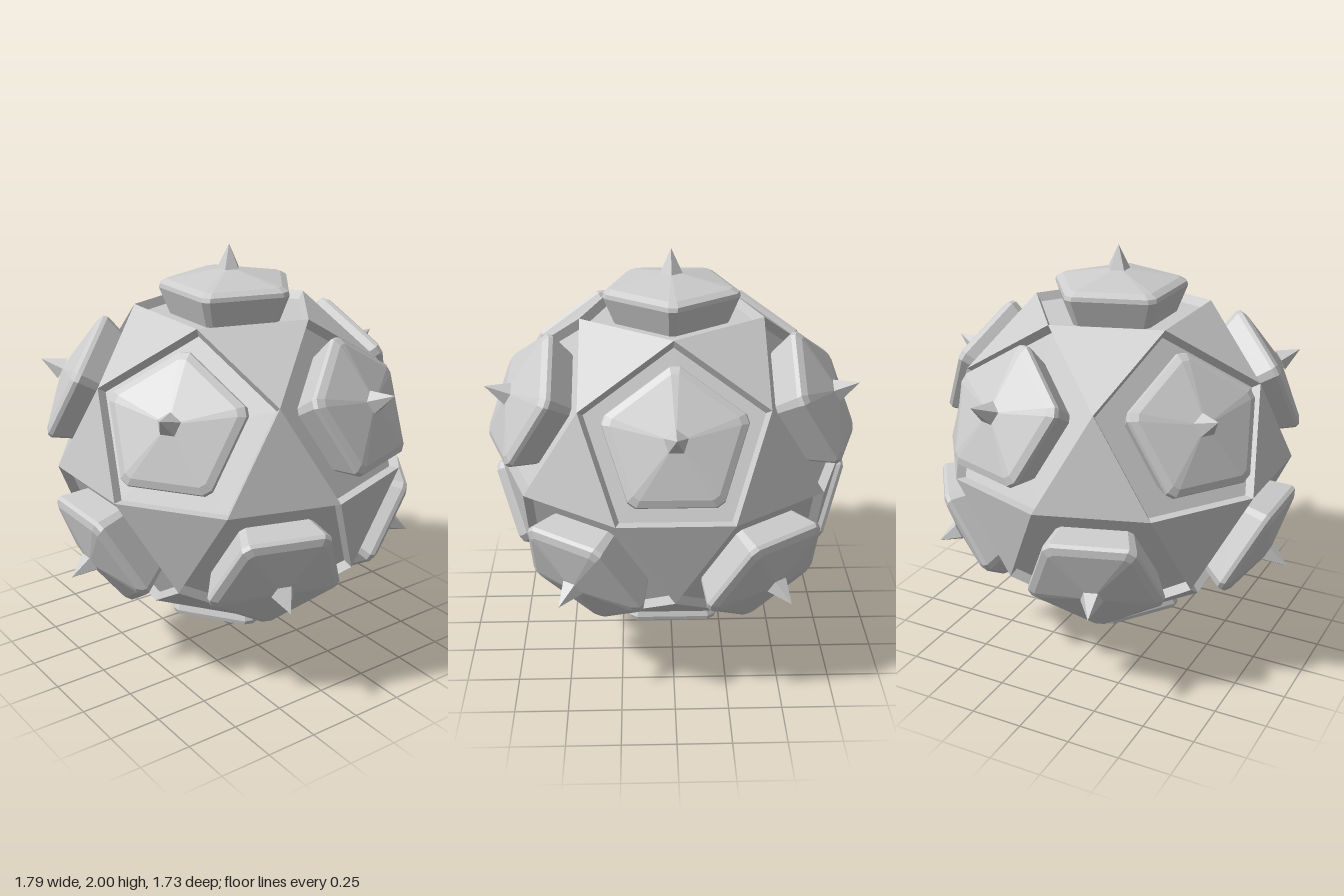
import * as THREE from 'three';

const TILT = Math.acos(1 / Math.sqrt(5)); // angle between neighbouring pentagon axes
const RADIUS = 0.84;                      // corner radius of the shell

function flatGeometry(points) {
  const g = new THREE.BufferGeometry().setFromPoints(points);
  g.computeVertexNormals();
  return g;
}

// Pentagon around the y axis; a cut above 0 chamfers its corners
function pentagon(radius, height, cut = 0) {
  const corner = i => {
    const a = (i * Math.PI * 2) / 5;
    return new THREE.Vector3(radius * Math.cos(a), height, -radius * Math.sin(a));
  };
  const ring = [];
  for (let i = 0; i < 5; i++) {
    const c = corner(i);
    if (cut) ring.push(c.clone().lerp(corner(i - 1), cut), c.clone().lerp(corner(i + 1), cut));
    else ring.push(c);
  }
  return ring;
}

// Skin successive rings and close the last one to a point on the axis
function loft(rings, tipHeight) {
  const pts = [];
  const tip = new THREE.Vector3(0, tipHeight, 0);
  rings.forEach((r, k) => {
    const up = rings[k + 1];
    for (let i = 0; i < r.length; i++) {
      const j = (i + 1) % r.length;
      if (up) pts.push(r[i], r[j], up[j], r[i], up[j], up[i]);
      else pts.push(r[i], r[j], tip);
    }
  });
  return flatGeometry(pts);
}

// Triangular shell faces: one per triple of neighbouring axes
function shellGeometry(axes) {
  const pts = [];
  const near = (a, b) => a.dot(b) > 0.4;
  const mid = (a, b) => a.clone().add(b).setLength(RADIUS);
  for (let i = 0; i < 12; i++)
    for (let j = i + 1; j < 12; j++)
      for (let k = j + 1; k < 12; k++) {
        const [a, b, c] = [axes[i], axes[j], axes[k]];
        if (!near(a, b) || !near(b, c) || !near(a, c)) continue;
        const tri = [mid(a, b), mid(b, c), mid(c, a)];
        if (a.clone().cross(b).dot(c) < 0) tri.reverse();
        pts.push(...tri);
      }
  return flatGeometry(pts);
}

export function createModel() {
  const model = new THREE.Group();
  model.name = 'spikedPolyhedron';
  const grey = new THREE.MeshStandardMaterial({ color: 0xcccccc });
  grey.name = 'grey';

  // Shallow sunken pentagon
  const recess = loft([pentagon(0.4416, 0.7146), pentagon(0.417, 0.675)], 0.675);
  // Bevelled plate flaring outward to a low peak
  const plate = loft([
    pentagon(0.286, 0.675, 0.06),
    pentagon(0.339, 0.8, 0.06),
    pentagon(0.335, 0.82, 0.07),
    pentagon(0.298, 0.838, 0.06),
  ], 0.893);
  // Spike with its tip one unit from the centre
  const spike = new THREE.ConeGeometry(0.055, 0.112, 5).toNonIndexed();
  spike.rotateY(Math.PI / 2).translate(0, 0.944, 0);
  spike.computeVertexNormals();

  // Orientations of the twelve pentagons: one half, then the half turned over
  const half = [new THREE.Matrix4()];
  for (let i = 0; i < 5; i++) {
    half.push(new THREE.Matrix4().makeRotationY((i * Math.PI * 2) / 5)
      .multiply(new THREE.Matrix4().makeRotationZ(-TILT))
      .multiply(new THREE.Matrix4().makeRotationY(Math.PI)));
  }
  const flip = new THREE.Matrix4().makeRotationZ(Math.PI);
  const turns = [...half, ...half.map(m => flip.clone().multiply(m))];

  const axes = turns.map(m => new THREE.Vector3(0, 1, 0).applyMatrix4(m));
  const shell = new THREE.Mesh(shellGeometry(axes), grey);
  shell.name = 'shell';
  model.add(shell);

  for (const turn of turns) {
    const panel = new THREE.Group();
    panel.name = 'panel';
    for (const [name, geometry] of Object.entries({ recess, plate, spike })) {
      const mesh = new THREE.Mesh(geometry, grey);
      mesh.name = name;
      panel.add(mesh);
    }
    panel.quaternion.setFromRotationMatrix(turn);
    model.add(panel);
  }

  model.children.forEach(part => { part.position.y = 1; });
  return model;
}
